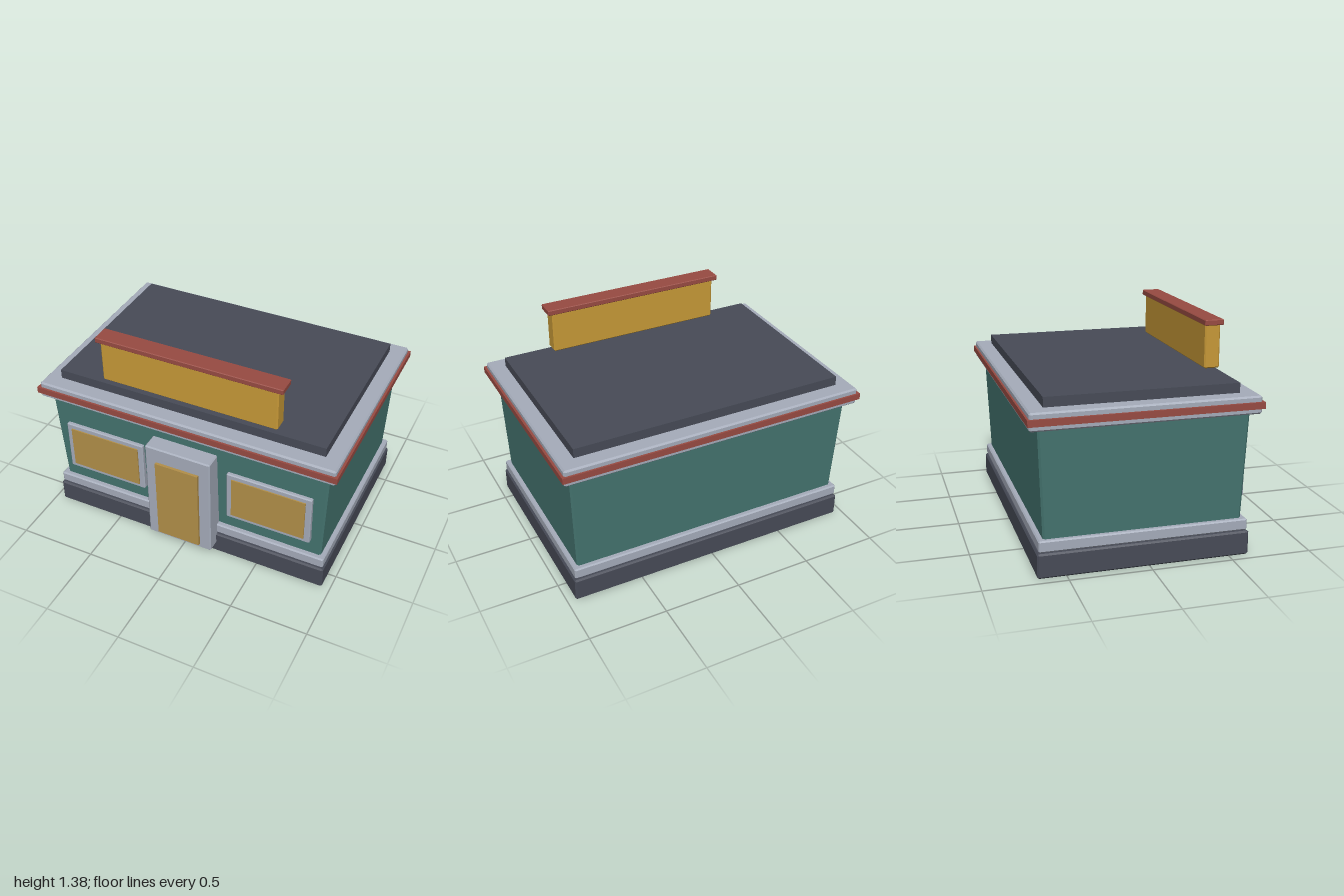
import * as THREE from 'three';
import { ConvexGeometry } from 'three/addons/geometries/ConvexGeometry.js';

const mat = (name, color) => {
  const m = new THREE.MeshStandardMaterial({ color });
  m.name = name;
  return m;
};

// Box with every edge chamfered by c; taper widens the top on each side
function chamferBox([x0, x1], [y0, y1], [z0, z1], c, taper = 0) {
  const points = [];
  const half = [(x1 - x0) / 2, (y1 - y0) / 2, (z1 - z0) / 2];
  for (const sx of [-1, 1]) for (const sy of [-1, 1]) for (const sz of [-1, 1]) {
    for (let axis = 0; axis < 3; axis++) {
      const h = half.map((v, i) => (i === axis ? v : v - c));
      const grow = sy > 0 ? taper : 0;
      points.push(new THREE.Vector3(
        (x0 + x1) / 2 + sx * (h[0] + grow),
        (y0 + y1) / 2 + sy * h[1],
        (z0 + z1) / 2 + sz * (h[2] + grow)));
    }
  }
  return new ConvexGeometry(points);
}

function plainBox([x0, x1], [y0, y1], [z0, z1]) {
  return new THREE.BoxGeometry(x1 - x0, y1 - y0, z1 - z0)
    .translate((x0 + x1) / 2, (y0 + y1) / 2, (z0 + z1) / 2);
}

export function createModel() {
  const model = new THREE.Group();
  model.name = 'shopBuilding';

  const teal = mat('tealWall', 0x457570);
  const grey = mat('paleGreyTrim', 0xa5acba);
  const slate = mat('darkSlate', 0x474b57);
  const red = mat('brickRed', 0x984b42);
  const gold = mat('signGold', 0xc79937);
  const amber = mat('amberGlass', 0xb28f49);

  const add = (name, material, x, y, z, chamfer = 0, taper = 0) => {
    const geometry = chamfer ? chamferBox(x, y, z, chamfer, taper) : plainBox(x, y, z);
    const mesh = new THREE.Mesh(geometry, material);
    mesh.name = name;
    model.add(mesh);
  };
  const wide = (h) => [-h, h];

  // Foundation and walls, flaring slightly towards the top
  add('foundation', slate, wide(0.947), [0, 0.152], [-0.673, 0.622], 0.01);
  add('baseTrim', grey, wide(0.94), [0.157, 0.228], [-0.662, 0.611], 0.008);
  add('walls', teal, wide(0.908), [0.13, 0.91], [-0.628, 0.576], 0.012, 0.028);

  // Cornice with its red band, and the flat roof
  add('cornice', grey, wide(0.985), [0.889, 0.998], [-0.71, 0.656], 0.01);
  add('corniceBand', red, wide(1), [0.923, 0.963], [-0.722, 0.669]);
  add('roof', slate, wide(0.886), [0.99, 1.058], [-0.611, 0.555]);

  // Sign board above the front edge, with a cap
  add('signBoard', gold, wide(0.58), [1.077, 1.35], [0.451, 0.548], 0.008);
  add('signCap', red, wide(0.61), [1.345, 1.38], [0.438, 0.557], 0.004);

  // Projecting door surround and door
  add('doorFrame', grey, wide(0.22), [0.075, 0.796], [0.55, 0.706], 0.008);
  add('door', amber, wide(0.145), [0.11, 0.69], [0.69, 0.724]);

  // Windows either side of the door
  for (const [side, s] of [['left', 1], ['right', -1]]) {
    const span = (a, b) => (s > 0 ? [a, b] : [-b, -a]);
    add(side + 'WindowFrame', grey, span(0.29, 0.845), [0.34, 0.692], [0.55, 0.62], 0.006);
    add(side + 'WindowGlass', amber, span(0.325, 0.808), [0.372, 0.66], [0.61, 0.628]);
  }

  return model;
}
